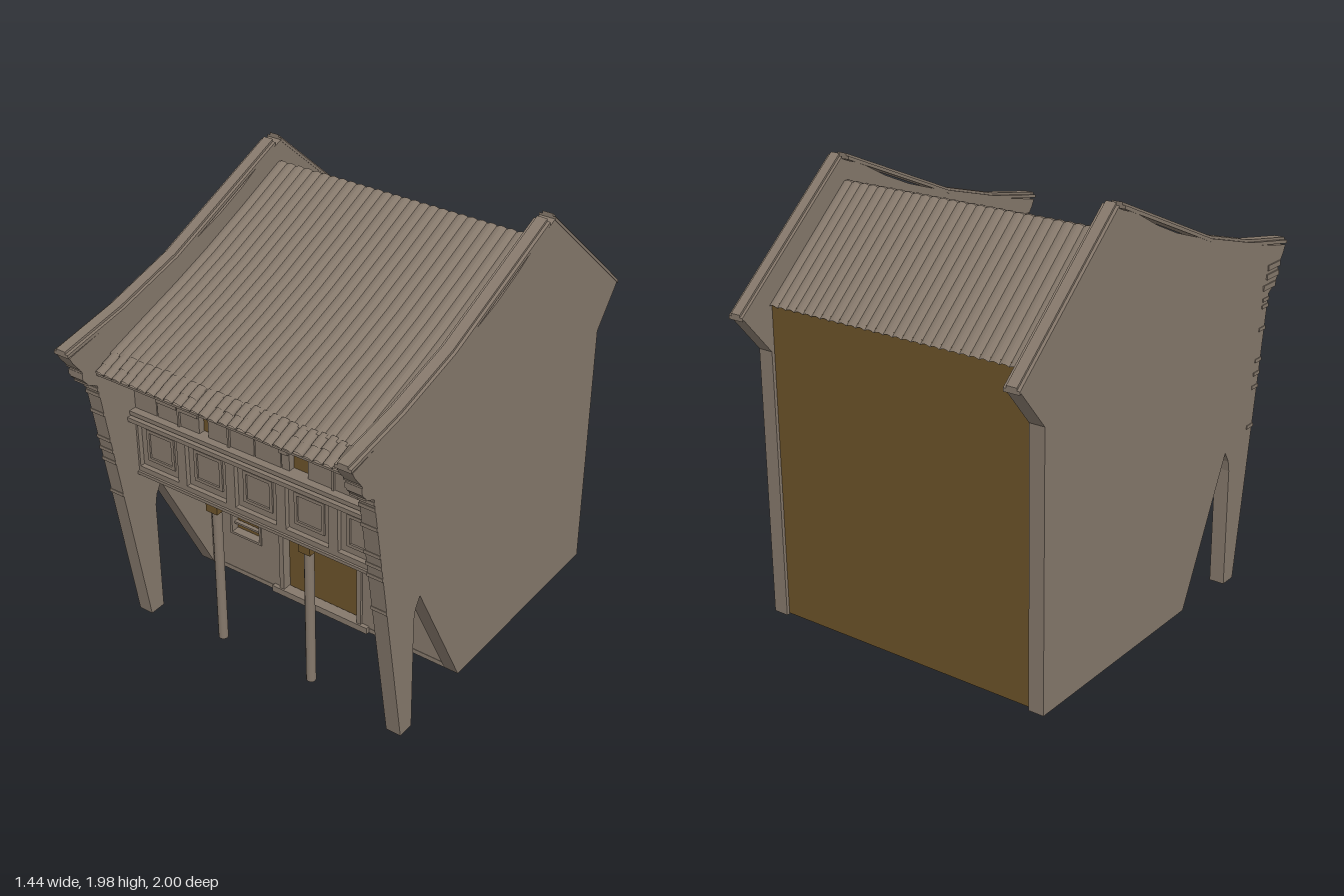
import * as THREE from 'three';

export function createModel() {
  const house = new THREE.Group();
  house.name = 'house';
  const stone = new THREE.MeshStandardMaterial({ color: 0x85786b, side: THREE.DoubleSide });
  stone.name = 'weathered taupe';
  const wood = new THREE.MeshStandardMaterial({ color: 0x6b5229, side: THREE.DoubleSide });
  wood.name = 'dark ochre';

  const add = (name, geometry, material = stone) => {
    const mesh = new THREE.Mesh(geometry, material);
    mesh.name = name;
    house.add(mesh);
    return mesh;
  };
  // Box given by its extents
  const box = (name, x0, x1, y0, y1, z0, z1, material) =>
    add(name, new THREE.BoxGeometry(x1 - x0, y1 - y0, z1 - z0), material)
      .position.set((x0 + x1) / 2, (y0 + y1) / 2, (z0 + z1) / 2);
  // Outline of [z, y] points extruded along x
  const slab = (name, points, x0, x1) => {
    const shape = new THREE.Shape(points.map(([z, y]) => new THREE.Vector2(-z, y)));
    const g = new THREE.ExtrudeGeometry(shape, { depth: x1 - x0, bevelEnabled: false });
    g.rotateY(Math.PI / 2).translate(x0, 0, 0);
    return add(name, g);
  };
  // Upright sheet with rectangular holes, each [x0, x1, y0, y1]
  const rect = (C, [x0, x1, y0, y1]) => new C([[x0, y0], [x1, y0], [x1, y1], [x0, y1]]
    .map(([x, y]) => new THREE.Vector2(x, y)));
  const sheet = (name, outer, holes, z0, z1) => {
    const shape = rect(THREE.Shape, outer);
    shape.holes = holes.map((h) => rect(THREE.Path, h));
    const g = new THREE.ExtrudeGeometry(shape, { depth: z1 - z0, bevelEnabled: false });
    return add(name, g.translate(0, 0, z0));
  };

  // Gable walls with their front legs, and the copings on top
  const gable = [[0.65, 0], [0.57, 0], [0.57, 0.56], [0.56, 0.61], [0.53, 0.66], [0.21, 0.025],
    [-0.84, 0.025], [-0.84, 1.24], [-0.99, 1.42], [-0.375, 1.955], [-0.34, 1.94], [-0.26, 1.915],
    [-0.1, 1.83], [0.05, 1.765], [0.2, 1.715], [0.35, 1.67], [0.67, 1.57], [0.99, 1.5],
    [0.975, 1.47], [0.93, 1.41], [0.93, 1.37], [0.9, 1.335], [0.855, 1.31]];
  const copings = [
    [[1, 1.505], [0.67, 1.568], [0.33, 1.663], [-0.335, 1.943]],
    [[-0.375, 1.95], [-0.995, 1.41]],
  ];
  const lift = (line, a, b) => [...line.map(([z, y]) => [z, y + a]),
    ...[...line].reverse().map(([z, y]) => [z, y + b])];
  for (const s of [-1, 1]) {
    const inner = s > 0 ? 0.647 : -0.718;
    slab('gableWall', gable, inner, inner + 0.071);
    for (const line of copings) {
      slab('coping', lift(line, 0, 0.015), inner - 0.002, inner + 0.073);
      slab('copingCrown', lift(line, 0.015, 0.026), inner + 0.012, inner + 0.059);
    }
    // Mouldings across the front edge of the wall
    for (const y of [0.72, 0.9, 0.96, 1.02, 1.16, 1.26, 1.29]) {
      const z = 0.65 + (0.205 * y) / 1.31;
      box('wallMoulding', inner - 0.004, inner + 0.071, y - 0.008, y + 0.008, z - 0.05, z + 0.004);
    }
    for (const [y, z] of [[1.345, 0.9], [1.39, 0.925], [1.43, 0.935]])
      box('cornice', inner - 0.006, inner + 0.071, y - 0.012, y + 0.012, z - 0.1, z + 0.006);
  }

  // Corrugated roof, running from the rear eave over the ridge to the front eave
  const profile = [[-0.84, 1.435], [-0.365, 1.858], [-0.355, 1.858], [-0.1, 1.745],
    [0.15, 1.64], [0.35, 1.565], [0.6, 1.48], [0.77, 1.42]];
  const tiles = 28;
  const roof = new THREE.PlaneGeometry(1.3, 1, tiles * 4, profile.length - 1);
  const p = roof.attributes.position;
  for (let i = 0; i < p.count; i++) {
    const row = Math.floor(i / (tiles * 4 + 1));
    const wave = 0.007 * Math.abs(Math.sin((i % (tiles * 4 + 1)) * Math.PI / 4));
    p.setXYZ(i, p.getX(i), profile[row][1] + wave, profile[row][0]);
  }
  const roofFaces = roof.toNonIndexed();
  roofFaces.computeVertexNormals();
  add('roof', roofFaces);

  // Loose rows of curved tiles along the front eave
  let seed = 7;
  const random = () => (seed = (seed * 16807) % 2147483647) / 2147483647;
  const tile = new THREE.CylinderGeometry(0.023, 0.023, 0.07, 6, 1, true, -Math.PI / 2, Math.PI);
  tile.scale(1, 1, 0.7).rotateX(-Math.PI / 2);
  for (let row = 0; row < 2; row++) {
    for (let i = 0; i < tiles; i++) {
      const t = add('eaveTile', tile);
      t.position.set(-0.62 + i * 0.0453, 1.406 - row * 0.021 + random() * 0.006,
        0.785 + row * 0.05 + (random() - 0.5) * 0.014);
      t.rotation.x = 0.34;
    }
  }
  slab('eaveBoard', [[0.62, 1.455], [0.855, 1.37], [0.855, 1.36], [0.62, 1.435]], -0.645, 0.61);

  // Rear wall and floor
  box('rearWall', -0.647, 0.647, 0.03, 1.45, -0.825, -0.815, wood);
  box('floor', -0.645, 0.645, 0.035, 0.045, -0.815, 0.2, wood);
  box('floorEdge', -0.645, 0.645, 0.027, 0.05, 0.19, 0.212);

  // Ground floor front with door and window
  sheet('groundWall', [-0.647, 0.647, 0.03, 0.78],
    [[-0.22, 0.19, 0.055, 0.75], [-0.53, -0.35, 0.245, 0.63]], 0.17, 0.21);
  box('door', -0.23, 0.2, 0.05, 0.755, 0.165, 0.175, wood);
  box('windowPanel', -0.54, -0.34, 0.24, 0.635, 0.165, 0.175, wood);
  sheet('windowFrame', [-0.53, -0.35, 0.245, 0.63], [[-0.518, -0.362, 0.257, 0.615]], 0.175, 0.216);
  for (const y of [0.3, 0.36, 0.49, 0.55])
    box('windowSlat', -0.52, -0.36, y - 0.005, y + 0.005, 0.18, 0.2);
  for (const x of [-0.23, 0.2]) box('doorJamb', x - 0.012, x + 0.012, 0.055, 0.755, 0.17, 0.222);
  box('threshold', -0.28, 0.25, 0.028, 0.06, 0.18, 0.23);

  // Balcony posts with brackets
  for (const x of [-0.258, 0.228]) {
    add('post', new THREE.CylinderGeometry(0.022, 0.022, 0.7, 12)).position.set(x, 0.38, 0.61);
    box('postBracket', x - 0.03, x + 0.03, 0.72, 0.775, 0.57, 0.645, wood);
  }

  // Balcony floor and panelled front
  box('balconyFloor', -0.647, 0.647, 0.768, 0.785, 0.19, 0.645);
  const bays = [-0.53, -0.27, -0.008, 0.253, 0.513];
  sheet('balconyFrame', [-0.647, 0.647, 0.78, 1.065],
    bays.map((x) => [x - 0.107, x + 0.107, 0.815, 1.04]), 0.63, 0.655);
  box('balconyBack', -0.647, 0.647, 0.785, 1.06, 0.615, 0.632);
  for (const x of bays)
    sheet('panelMoulding', [x - 0.075, x + 0.075, 0.85, 1.005],
      [[x - 0.06, x + 0.06, 0.865, 0.99]], 0.631, 0.64);
  box('lowerRail', -0.647, 0.647, 0.775, 0.79, 0.63, 0.665);
  box('handrail', -0.647, 0.647, 1.06, 1.08, 0.62, 0.7);
  box('sill', -0.647, 0.647, 1.085, 1.105, 0.62, 0.685);

  // Upper storey shutters in front of a dark backing
  box('upperBacking', -0.647, 0.647, 1.065, 1.38, 0.61, 0.62, wood);
  const shutters = [[-0.645, -0.525], [-0.52, -0.41], [-0.395, -0.295], [-0.247, -0.14],
    [-0.132, -0.01], [-0.004, 0.125], [0.13, 0.168], [0.26, 0.38], [0.388, 0.512], [0.518, 0.645]];
  for (const [x0, x1] of shutters) box('shutter', x0, x1, 1.1, 1.36, 0.62, 0.65);
  for (const [x0, x1] of [[-0.52, -0.41], [-0.395, -0.297], [0.122, 0.165]])
    box('shutterPanel', x0, x1, 1.18, 1.275, 0.65, 0.66);
  for (const x of [-0.4, 0.385, -0.136]) box('mullion', x - 0.005, x + 0.005, 1.1, 1.36, 0.62, 0.66);
  box('lintel', -0.647, 0.647, 1.355, 1.42, 0.61, 0.67);

  return house;
}
